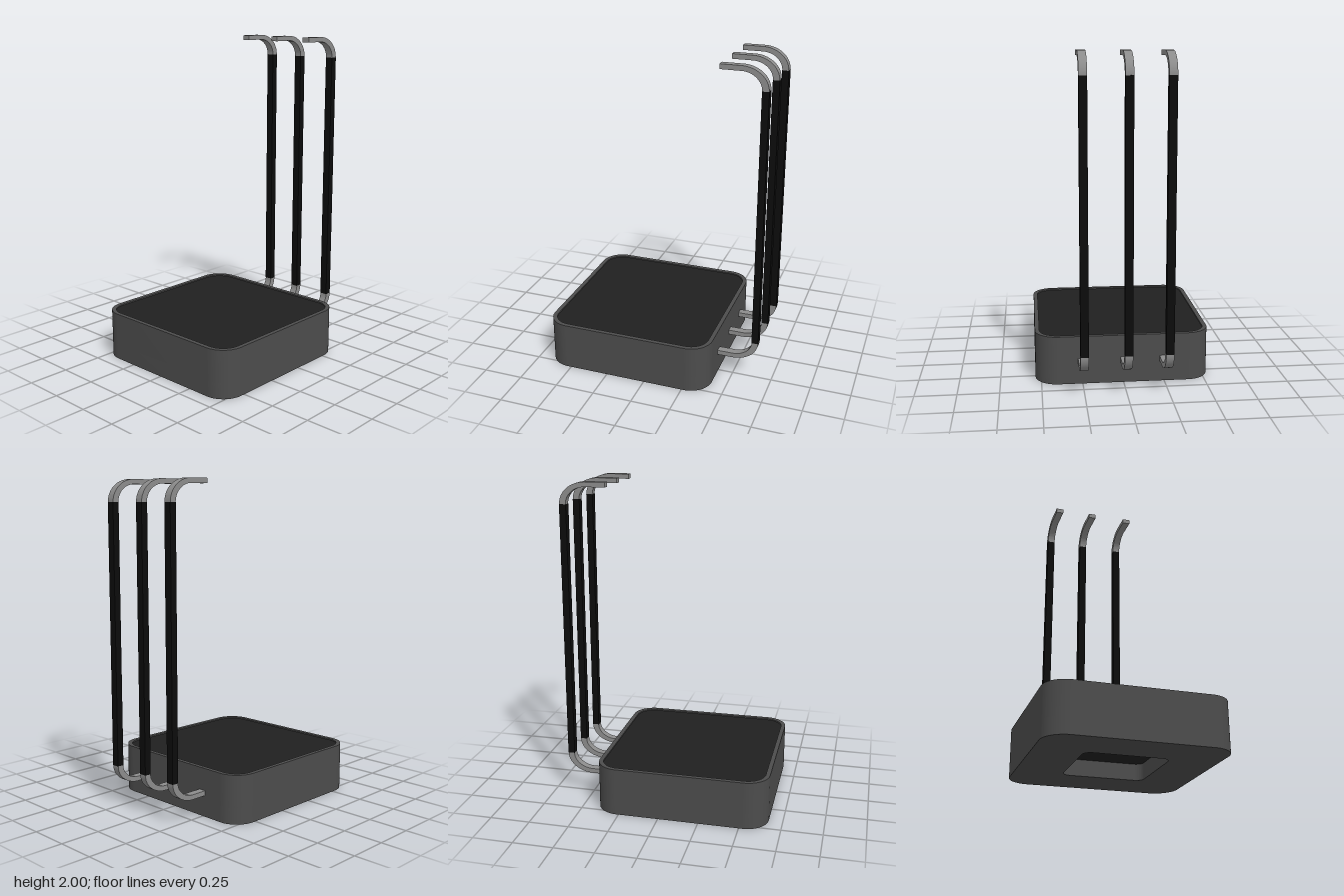
import * as THREE from 'three';
import { toCreasedNormals } from 'three/addons/utils/BufferGeometryUtils.js';

const CENTRE_Z = 0.13; // the base sits forward of the rods

const housingMat = new THREE.MeshStandardMaterial({ color: 0x4c4c4c });
const panelMat = new THREE.MeshStandardMaterial({ color: 0x202020 });
const rodMat = new THREE.MeshStandardMaterial({ color: 0x0c0c0c });
const hookMat = new THREE.MeshStandardMaterial({ color: 0x8c8c8c });

// Square outline with rounded corners, h = half side
function roundedSquare(h, r, Type = THREE.Shape) {
  const s = new Type();
  s.moveTo(h, -h + r);
  s.absarc(h - r, h - r, r, 0, Math.PI / 2);
  s.absarc(-h + r, h - r, r, Math.PI / 2, Math.PI);
  s.absarc(-h + r, -h + r, r, Math.PI, Math.PI * 1.5);
  s.absarc(h - r, -h + r, r, Math.PI * 1.5, Math.PI * 2);
  return s;
}

function mesh(name, geometry, material) {
  const m = new THREE.Mesh(geometry, material);
  m.name = name;
  return m;
}

// Upright slab between two heights, with an optional opening
function slab(name, outline, hole, y0, y1, material) {
  if (hole) outline.holes.push(hole);
  const g = new THREE.ExtrudeGeometry(outline, { depth: y1 - y0, bevelEnabled: false, curveSegments: 14 });
  g.rotateX(-Math.PI / 2).translate(0, y0, CENTRE_Z);
  return mesh(name, toCreasedNormals(g, 0.6), material);
}

// Flat bar bent a quarter turn: from the rod at z = -0.66 forward to tipZ.
// dir = 1 bends at the top, -1 at the bottom; endY is the outermost height.
function hookGeometry(tipZ, bendY, endY, dir, width) {
  const ry = Math.abs(endY - bendY);
  const cz = -0.5, t = 0.03;
  const up = dir > 0;
  const s = new THREE.Shape();
  s.moveTo(tipZ, endY);
  s.lineTo(cz, endY);
  s.absellipse(cz, bendY, 0.162, ry, up ? Math.PI / 2 : -Math.PI / 2, up ? Math.PI : -Math.PI, !up);
  s.lineTo(cz - 0.122, bendY);
  s.absellipse(cz, bendY, 0.122, ry - t, up ? Math.PI : -Math.PI, up ? Math.PI / 2 : -Math.PI / 2, up);
  s.lineTo(tipZ, endY - dir * t);
  s.closePath();
  const g = new THREE.ExtrudeGeometry(s, { depth: width, bevelEnabled: false, curveSegments: 12 });
  g.rotateY(-Math.PI / 2).translate(width / 2, 0, 0);
  return toCreasedNormals(g, 0.6);
}

export function createModel() {
  const model = new THREE.Group();
  model.name = 'hookRack';

  // Square base: floor with an opening, surrounding wall, inset top panel
  const base = new THREE.Group();
  base.name = 'base';
  base.add(
    slab('baseFloor', roundedSquare(0.535, 0.14), roundedSquare(0.25, 0.05, THREE.Path), 0, 0.1, housingMat),
    slab('baseWall', roundedSquare(0.535, 0.14), roundedSquare(0.508, 0.115, THREE.Path), 0.1, 0.3, housingMat),
    slab('topPanel', roundedSquare(0.508, 0.115), null, 0.1, 0.292, panelMat)
  );
  model.add(base);

  // Three uprights, each with a hook at the top and a bent foot into the base
  const width = 0.048, rodBottom = 0.26, rodTop = 1.865;
  const rodGeo = new THREE.BoxGeometry(width, rodTop - rodBottom, 0.042);
  rodGeo.translate(0, (rodTop + rodBottom) / 2, -0.642);
  const hookGeo = hookGeometry(-0.375, rodTop, 2, 1, width);
  const footGeo = hookGeometry(-0.39, rodBottom, 0.132, -1, width);
  for (const x of [-0.244, -0.003, 0.254]) {
    const upright = new THREE.Group();
    upright.name = 'upright';
    upright.position.x = x;
    upright.add(mesh('rod', rodGeo, rodMat), mesh('topHook', hookGeo, hookMat), mesh('bottomHook', footGeo, hookMat));
    model.add(upright);
  }
  return model;
}
